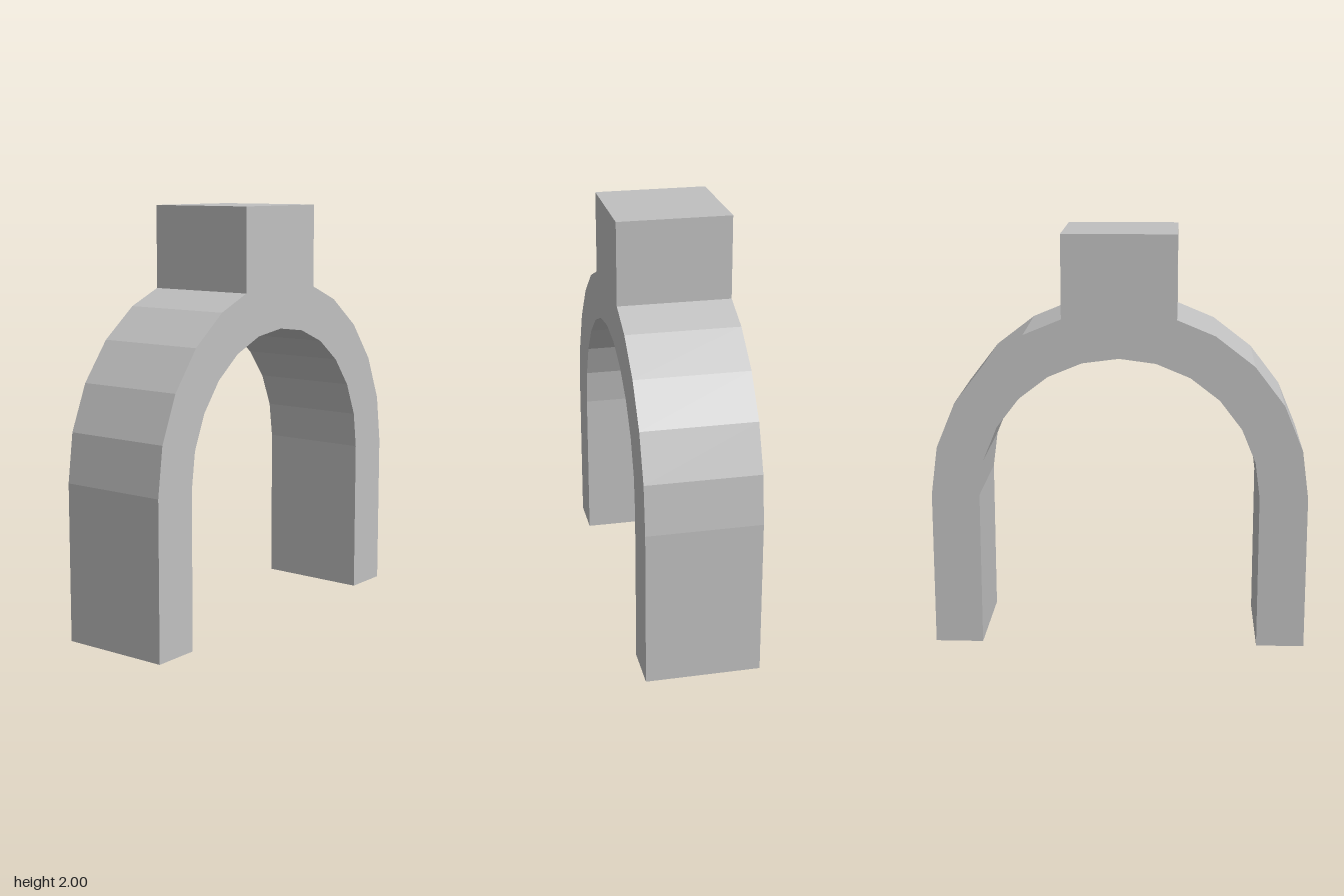
import * as THREE from 'three';

const OUTER = 0.9, INNER = 0.67, SPRING = 0.75; // arch radii and height of the arc centre
const HALF = 0.27, TOP = 2, STEPS = 12;         // half width of the head block, total height

// Point on an arc about the spring line, in 15 degree steps
function arcPoint(radius, i) {
  const a = (i / STEPS) * Math.PI;
  return new THREE.Vector2(radius * Math.cos(a), SPRING + radius * Math.sin(a));
}

export function createModel() {
  const grey = new THREE.MeshStandardMaterial({ color: 0xc0c0c0 });
  grey.name = 'grey';

  // Height at which the block's sides meet the faceted outer arc
  const p = arcPoint(OUTER, 4), q = arcPoint(OUTER, 5);
  const shoulder = THREE.MathUtils.mapLinear(HALF, p.x, q.x, p.y, q.y);

  // Right half of the outer outline: leg, facets, then the block
  const half = [new THREE.Vector2(OUTER, 0)];
  for (let i = 0; i <= 4; i++) half.push(arcPoint(OUTER, i));
  half.push(new THREE.Vector2(HALF, shoulder), new THREE.Vector2(HALF, TOP));

  // Mirrored half, then back along the inner arch
  const mirrored = half.map((v) => new THREE.Vector2(-v.x, v.y)).reverse();
  const inner = [new THREE.Vector2(-INNER, 0)];
  for (let i = STEPS; i >= 0; i--) inner.push(arcPoint(INNER, i));
  inner.push(new THREE.Vector2(INNER, 0));

  // One solid fork: two legs, arch and square head
  const shape = new THREE.Shape([...half, ...mirrored, ...inner]);
  const geometry = new THREE.ExtrudeGeometry(shape, { depth: HALF * 2, bevelEnabled: false });
  geometry.translate(0, 0, -HALF);
  const fork = new THREE.Mesh(geometry, grey);
  fork.name = 'archedFork';

  const group = new THREE.Group();
  group.name = 'forkBracket';
  group.add(fork);
  return group;
}
